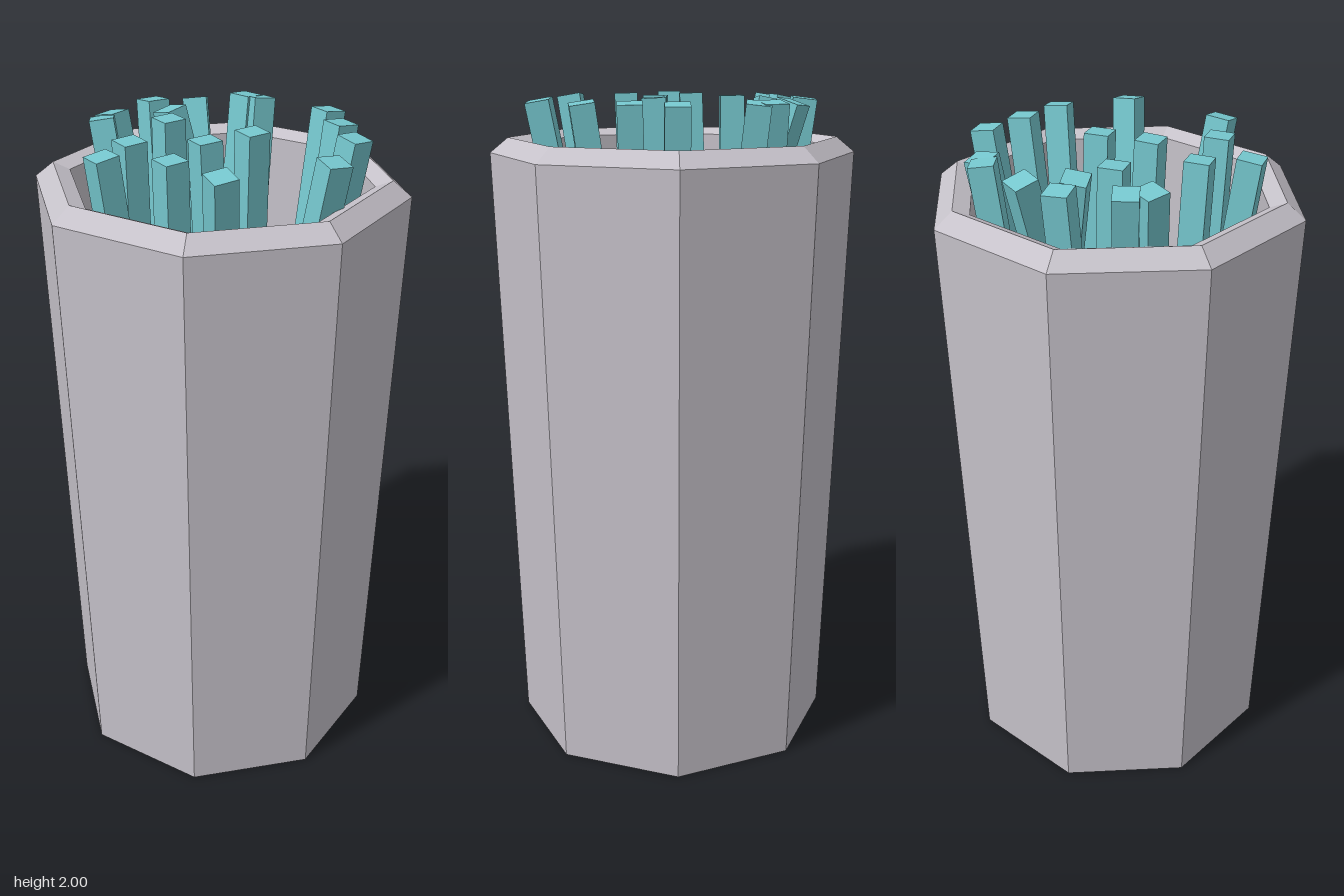
import * as THREE from 'three';

const gray = new THREE.MeshStandardMaterial({ color: 0xc6c2ca, flatShading: true });
gray.name = 'pale gray cup';
const teal = new THREE.MeshStandardMaterial({ color: 0x76c8cf, flatShading: true });
teal.name = 'teal sticks';

// One entry per stick: top x, top z, bottom x, bottom z, twist in degrees
const STICKS = [
  [-0.39, 0, -0.13, 0, 0],
  [0.395, 0, 0.13, 0, 0],
  [-0.26, -0.065, -0.19, -0.125, 0],
  [-0.26, 0.14, -0.19, 0.08, 0],
  [-0.055, -0.18, -0.03, -0.205, 0],
  [-0.2, -0.315, -0.09, 0.02, -33],
  [-0.145, -0.35, -0.02, 0.03, 16],
  [0.025, -0.39, -0.04, -0.16, 0],
  [0.15, -0.345, -0.04, 0.2, -38],
  [0.015, -0.285, 0.34, 0.07, 8],
  [0.29, -0.27, 0.06, -0.21, 15],
  [0.31, -0.23, 0.03, -0.05, -6],
  [0.335, 0.13, 0.12, 0.08, 0],
  [0.275, 0.265, 0.09, 0, 5],
  [0.095, 0.395, -0.02, 0.04, -7],
  [-0.22, 0.315, 0.02, 0.01, -8],
  [-0.085, 0.05, -0.01, 0.07, -5],
  [0.07, 0.06, 0.1, -0.03, 0],
];
const FLOOR = 0.09;
const UP = new THREE.Vector3(0, 1, 0);

// Square stick running between two points, twisted about its own axis
function makeStick([tx, tz, bx, bz, twist]) {
  const bottom = new THREE.Vector3(bx, FLOOR, bz);
  const top = new THREE.Vector3(tx, 2, tz);
  const dir = top.clone().sub(bottom).normalize();
  // lower the end so the raised corner of a leaning stick stays at y = 2
  top.y -= 0.036 * Math.hypot(dir.x, dir.z);
  const mesh = new THREE.Mesh(new THREE.BoxGeometry(0.072, top.distanceTo(bottom), 0.072), teal);
  mesh.position.copy(top).add(bottom).multiplyScalar(0.5);
  mesh.quaternion.setFromUnitVectors(UP, dir);
  mesh.rotateY(THREE.MathUtils.degToRad(twist));
  mesh.name = 'stick';
  return mesh;
}

export function createModel() {
  const model = new THREE.Group();
  model.name = 'cupOfSticks';

  // Eight-sided hollow cup: base, tapered wall, bevelled rim, inner wall, floor
  const profile = [
    [0, 0], [0.49, 0], [0.55, 1.835], [0.495, 1.88], [0.445, 1.86], [0.445, FLOOR], [0, FLOOR],
  ].map(([r, y]) => new THREE.Vector2(r, y));
  const cup = new THREE.Mesh(new THREE.LatheGeometry(profile, 8), gray);
  cup.name = 'cup';
  model.add(cup);

  // Loose bundle of leaning sticks
  const bundle = new THREE.Group();
  bundle.name = 'sticks';
  STICKS.forEach((s) => bundle.add(makeStick(s)));
  model.add(bundle);

  return model;
}
